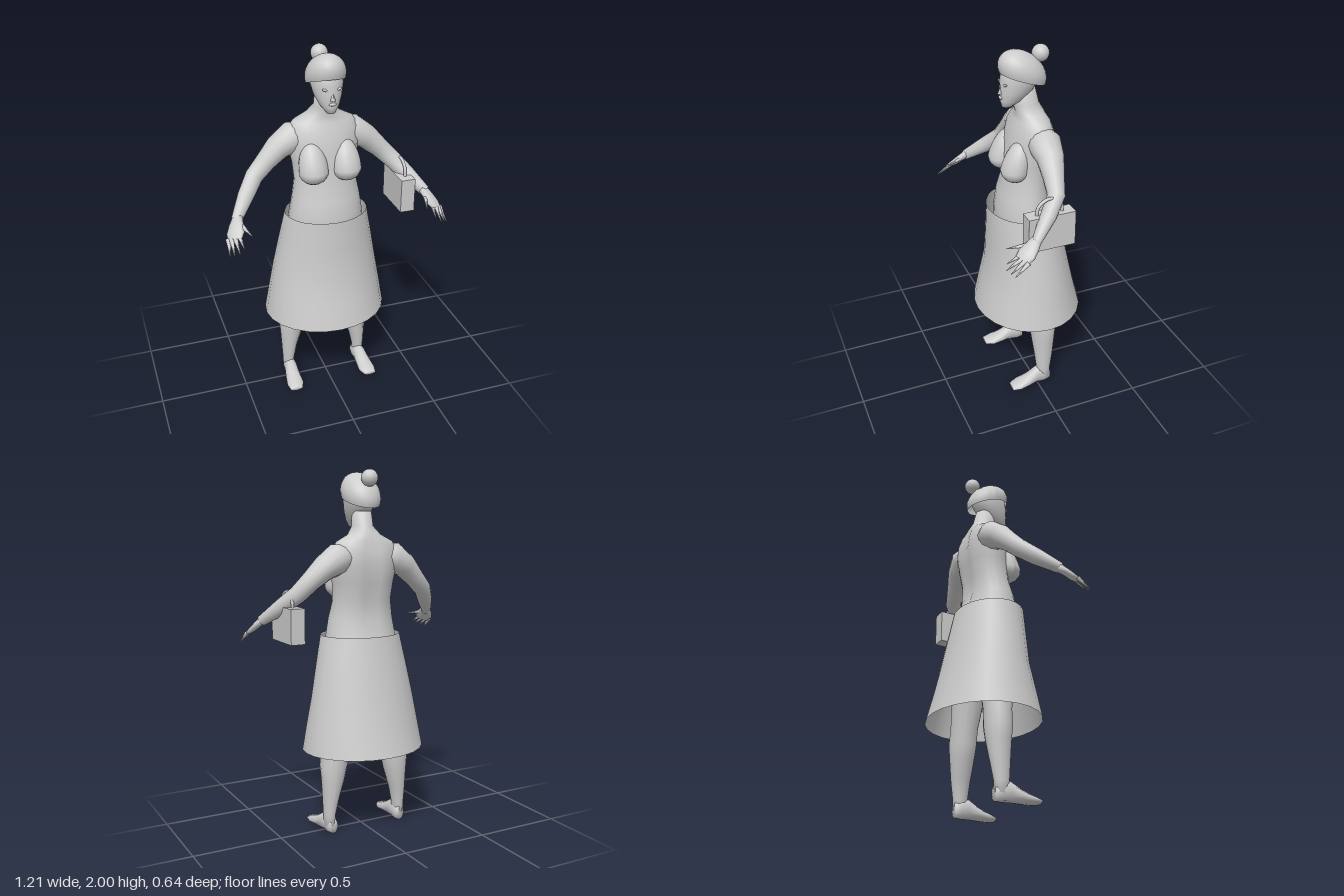
import * as THREE from 'three';

const clay = new THREE.MeshStandardMaterial({ color: 0xcccccc, side: THREE.DoubleSide });
clay.name = 'pale grey';

// Skin over elliptical rings [x, y, z, ru, rv]; ru lies along ref, rv across it.
// With a fixed axis all rings stay parallel.
function loft(rings, ref, { axis = null, sides = 12, caps = true } = {}) {
  const centres = rings.map(r => new THREE.Vector3(r[0], r[1], r[2]));
  const pos = [], idx = [], n = rings.length;
  rings.forEach((r, i) => {
    const t = axis ? axis.clone()
      : centres[Math.min(i + 1, n - 1)].clone().sub(centres[Math.max(i - 1, 0)]).normalize();
    const u = ref.clone().addScaledVector(t, -ref.dot(t)).normalize();
    const v = t.clone().cross(u);
    for (let j = 0; j < sides; j++) {
      const a = j / sides * Math.PI * 2;
      const p = centres[i].clone().addScaledVector(u, Math.cos(a) * r[3]).addScaledVector(v, Math.sin(a) * r[4]);
      pos.push(p.x, p.y, p.z);
    }
  });
  for (let i = 0; i < n - 1; i++) for (let j = 0; j < sides; j++) {
    const a = i * sides + j, b = i * sides + (j + 1) % sides;
    idx.push(a, b, a + sides, b, b + sides, a + sides);
  }
  if (caps) {
    const c = n * sides, e = (n - 1) * sides;
    pos.push(...centres[0].toArray(), ...centres[n - 1].toArray());
    for (let j = 0; j < sides; j++) {
      const k = (j + 1) % sides;
      idx.push(c, k, j, c + 1, e + j, e + k);
    }
  }
  const g = new THREE.BufferGeometry();
  g.setAttribute('position', new THREE.Float32BufferAttribute(pos, 3));
  g.setIndex(idx);
  g.computeVertexNormals();
  return g;
}

const X = new THREE.Vector3(1, 0, 0), Y = new THREE.Vector3(0, 1, 0), Z = new THREE.Vector3(0, 0, 1);

// Upright form from rows [y, half width, front z, back z]
const upright = (rows, options) => loft(
  rows.map(([y, w, f, b]) => [0, y, (f + b) / 2, w, (f - b) / 2]), X, { axis: Y, ...options });

function reshape(g, rule) {
  const p = g.attributes.position, v = new THREE.Vector3();
  for (let i = 0; i < p.count; i++) {
    rule(v.fromBufferAttribute(p, i));
    p.setXYZ(i, v.x, v.y, v.z);
  }
  g.computeVertexNormals();
  return g;
}

export function createModel() {
  const model = new THREE.Group();
  model.name = 'woman';
  const add = (name, geometry, x = 0, y = 0, z = 0) => {
    const m = new THREE.Mesh(geometry, clay);
    m.name = name;
    m.position.set(x, y, z);
    model.add(m);
    return m;
  };

  // Torso and neck, with a shallow groove along the spine
  add('torso', reshape(upright([
    [0.80, 0.15, 0.10, -0.13], [0.92, 0.215, 0.14, -0.175], [1.03, 0.215, 0.155, -0.17],
    [1.11, 0.205, 0.15, -0.15], [1.20, 0.19, 0.135, -0.13], [1.30, 0.172, 0.105, -0.13],
    [1.40, 0.18, 0.10, -0.15], [1.50, 0.20, 0.085, -0.16], [1.57, 0.20, 0.065, -0.15],
    [1.62, 0.165, 0.045, -0.135], [1.655, 0.095, 0.035, -0.115], [1.70, 0.056, 0.05, -0.09],
    [1.78, 0.052, 0.05, -0.07]], { sides: 24 }), v => {
    if (v.z < -0.05 && v.y > 1.15 && v.y < 1.63) v.z += 0.02 * Math.exp(-((v.x / 0.04) ** 2));
  }));

  // Head
  add('head', upright([
    [1.695, 0.022, 0.112, 0.06], [1.73, 0.05, 0.122, 0.0], [1.78, 0.073, 0.122, -0.055],
    [1.84, 0.087, 0.118, -0.09], [1.92, 0.085, 0.105, -0.095]], { sides: 20 }));
  const nose = new THREE.ConeGeometry(0.015, 0.06, 4);
  nose.rotateX(-0.15);
  add('nose', nose, 0, 1.795, 0.117);
  const lips = new THREE.SphereGeometry(1, 10, 6);
  lips.scale(0.02, 0.009, 0.009);
  add('lips', lips, 0, 1.748, 0.12);

  // Hair cap, lower at the nape, and bun
  const hair = new THREE.SphereGeometry(1, 24, 14, 0, Math.PI * 2, 0, Math.PI * 0.6);
  hair.scale(0.105, 0.11, 0.128);
  add('hair', reshape(hair, v => { v.y += 0.33 * v.z; }), 0, 1.87, 0);
  add('bun', new THREE.SphereGeometry(0.046, 16, 12), 0, 1.954, -0.1);

  // Open skirt
  add('skirt', upright([
    [0.47, 0.35, 0.28, -0.325], [0.62, 0.325, 0.245, -0.285], [0.77, 0.298, 0.21, -0.25],
    [0.94, 0.265, 0.202, -0.215], [1.11, 0.23, 0.195, -0.18]], { sides: 24, caps: false }));

  for (const s of [1, -1]) {
    const side = s > 0 ? 'left' : 'right';
    const flip = rows => rows.map(([x, ...rest]) => [x * s, ...rest]);

    // Eye lid
    const lid = new THREE.SphereGeometry(1, 10, 6);
    lid.scale(0.018, 0.007, 0.008);
    add(side + 'Eye', lid, s * 0.036, 1.822, 0.107).rotation.z = s * 0.25;

    // Breast: full below, drawn out towards the collarbone
    const breast = new THREE.SphereGeometry(1, 16, 12);
    breast.scale(0.08, 0.07, 0.075);
    add(side + 'Breast', reshape(breast, v => {
      if (v.y > 0) v.y *= 2.2;
      v.z -= 0.25 * Math.max(v.y, 0);
    }), s * 0.092, 1.375, 0.082);

    // Arm
    add(side + 'Arm', loft(flip([
      [0.09, 1.54, -0.05, 0.07, 0.07], [0.17, 1.528, -0.055, 0.088, 0.085],
      [0.25, 1.48, -0.052, 0.072, 0.068], [0.32, 1.415, -0.038, 0.056, 0.055],
      [0.39, 1.345, -0.022, 0.046, 0.05], [0.455, 1.275, 0.05, 0.042, 0.045],
      [0.53, 1.195, 0.145, 0.026, 0.03]]), Z, { sides: 14 }));

    // Hand and pointed fingers
    const across = new THREE.Vector3(0.85 * s, -0.5, 0);
    add(side + 'Hand', loft(flip([
      [0.52, 1.205, 0.135, 0.027, 0.025], [0.54, 1.175, 0.175, 0.042, 0.02],
      [0.552, 1.15, 0.205, 0.05, 0.018], [0.563, 1.13, 0.235, 0.04, 0.013]]), across, { sides: 10 }));
    const fingers = [
      [0.592, 1.125, 0.21, 0.602, 1.065, 0.285], [0.577, 1.13, 0.225, 0.582, 1.075, 0.3],
      [0.56, 1.14, 0.225, 0.556, 1.085, 0.315], [0.54, 1.15, 0.22, 0.53, 1.105, 0.3],
      [0.517, 1.18, 0.18, 0.482, 1.16, 0.285]];
    fingers.forEach(([x, y, z, tx, ty, tz], i) => add(side + (i < 4 ? 'Finger' : 'Thumb'),
      loft(flip([[x, y, z, 0.015, 0.012], [tx, ty, tz, 0.002, 0.002]]), across, { sides: 6 })));

    // Leg
    add(side + 'Leg', loft(flip([
      [0.22, 0.04, -0.045, 0.034, 0.036], [0.222, 0.10, -0.042, 0.033, 0.042],
      [0.214, 0.20, -0.045, 0.046, 0.055], [0.20, 0.31, -0.046, 0.066, 0.068],
      [0.195, 0.39, -0.045, 0.079, 0.076], [0.185, 0.48, -0.042, 0.077, 0.076],
      [0.155, 0.68, -0.03, 0.09, 0.095], [0.12, 0.94, -0.02, 0.1, 0.115]]), X, { axis: Y, sides: 14 }));

    // Foot, splayed slightly outward with a flat sole
    add(side + 'Foot', reshape(loft(flip([
      [0.215, 0.045, -0.08, 0.028, 0.04], [0.218, 0.055, -0.045, 0.036, 0.055],
      [0.22, 0.06, 0.0, 0.037, 0.055], [0.224, 0.04, 0.06, 0.044, 0.036],
      [0.227, 0.028, 0.12, 0.05, 0.024], [0.232, 0.024, 0.165, 0.036, 0.013]]),
      X, { axis: Z, sides: 12 }), v => { v.y = Math.max(v.y - 0.005, v.y < 0.02 ? 0 : 0.008); }));
  }

  // Handbag hanging from the left forearm
  add('bag', new THREE.BoxGeometry(0.08, 0.19, 0.255), 0.425, 1.185, 0.028);
  const strap = new THREE.CatmullRomCurve3([[1.27, -0.04], [1.325, -0.03], [1.36, 0.03], [1.325, 0.09], [1.27, 0.1]]
    .map(([y, z]) => new THREE.Vector3(0.428, y, z)));
  add('bagHandle', new THREE.TubeGeometry(strap, 20, 0.009, 8));

  return model;
}
